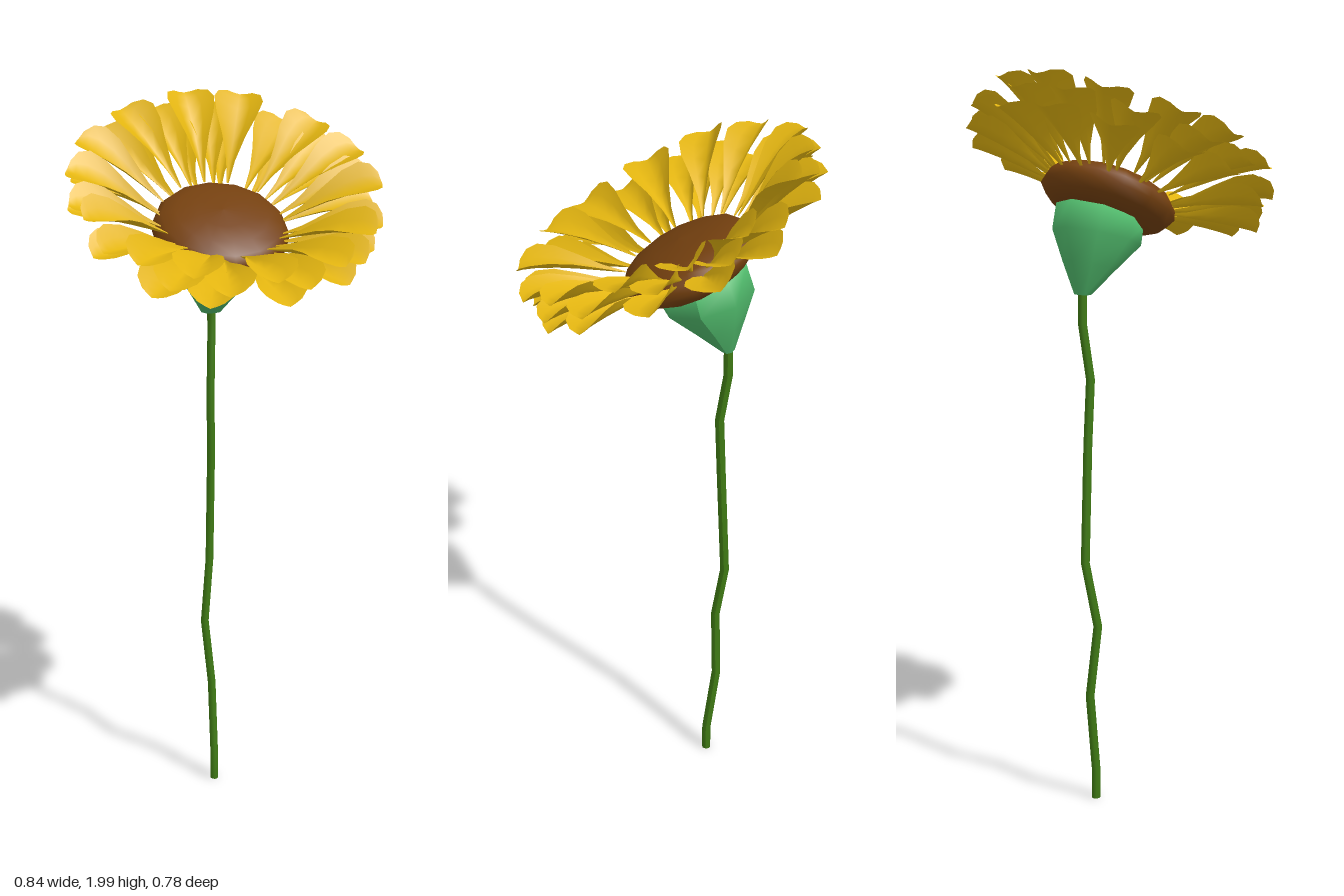
import * as THREE from 'three';

const paint = (color, side = THREE.FrontSide) => new THREE.MeshStandardMaterial({ color, side });

function part(name, geometry, material) {
  const mesh = new THREE.Mesh(geometry, material);
  mesh.name = name;
  return mesh;
}

// Grid of points (rows x columns) turned into a smooth surface
function surface(rows) {
  const cols = rows[0].length, index = [];
  for (let i = 0; i < rows.length - 1; i++) {
    for (let j = 0; j < cols - 1; j++) {
      const a = i * cols + j, b = a + cols;
      index.push(a, b, a + 1, b, b + 1, a + 1);
    }
  }
  const g = new THREE.BufferGeometry();
  g.setAttribute('position', new THREE.Float32BufferAttribute(rows.flat(2), 3));
  g.setIndex(index);
  g.computeVertexNormals();
  return g;
}

// Rings of [x, y, z, radius across, radius in depth, drop towards the front]
function loft(rings, sides) {
  return surface(rings.map(([x, y, z, rx, rz, drop = 0]) =>
    Array.from({ length: sides + 1 }, (_, j) => {
      const a = (j / sides) * Math.PI * 2;
      return [x + rx * Math.cos(a), y - drop * Math.sin(a), z + rz * Math.sin(a)];
    })));
}

// Petal running along +z: narrow stalk, broad blunt tip, edges folded up
function petalGeometry(length, rise) {
  // [fraction of length, half width, fraction of rise, fold height]
  const stations = [
    [0, 0.003, 0, 0.002], [0.2, 0.012, 0.24, 0.012], [0.42, 0.032, 0.5, 0.028],
    [0.62, 0.055, 0.72, 0.038], [0.8, 0.067, 0.88, 0.038], [0.92, 0.058, 0.97, 0.028],
    [1, 0.034, 1, 0.014],
  ];
  return surface(stations.map(([t, w, h, fold]) =>
    [-1, -0.5, 0, 0.5, 1].map((s) => [
      s * w, rise * h + fold * Math.abs(s) ** 1.3, length * (t - 0.03 * t * Math.abs(s)),
    ])));
}

export function createModel() {
  const flower = new THREE.Group();
  flower.name = 'flower';

  // Crooked stem
  const path = [
    [-0.005, 0, -0.131], [-0.005, 0.08, -0.131], [-0.006, 0.3, -0.157], [-0.028, 0.5, -0.149],
    [-0.007, 0.68, -0.176], [-0.005, 1.0, -0.162], [-0.008, 1.18, -0.154],
    [0, 1.33, -0.176], [0, 1.44, -0.175],
  ];
  const stemRings = path.map((p) => [...p, 0.0115, 0.0125]);
  stemRings.unshift([...path[0], 0, 0]);
  flower.add(part('stem', loft(stemRings, 8), paint(0x3f7a14)));

  // Green cup under the head, leaning forward as it opens
  flower.add(part('calyx', loft([
    [0, 1.405, -0.174, 0, 0],
    [0, 1.41, -0.174, 0.028, 0.018, 0],
    [0, 1.483, -0.15, 0.073, 0.066, 0.018],
    [0, 1.558, -0.118, 0.115, 0.122, 0.033],
    [0, 1.617, -0.105, 0.12, 0.112, 0.046],
    [0, 1.63, -0.1, 0, 0],
  ], 8), paint(0x4fb76a)));

  // Tilted head
  const head = new THREE.Group();
  head.name = 'head';
  head.position.set(0, 1.66, -0.07);
  head.rotation.x = THREE.MathUtils.degToRad(26);
  flower.add(head);

  // Seed disc
  const profile = [[0, -0.058], [0.13, -0.056], [0.165, -0.036], [0.186, -0.01],
    [0.18, 0.015], [0.162, 0.036], [0.125, 0.052], [0.07, 0.062], [0, 0.066]];
  head.add(part('seedDisc', new THREE.LatheGeometry(
    profile.map(([r, y]) => new THREE.Vector2(r, y)), 14), paint(0x74400f)));

  // Three staggered rings of petals
  const yellow = paint(0xe3b510, THREE.DoubleSide);
  const count = 14;
  const layers = [
    { name: 'upperPetal', length: 0.255, rise: 0.115, y: 0.035, turn: 0.2 },
    { name: 'middlePetal', length: 0.258, rise: 0.085, y: 0.025, turn: 0.7 },
    { name: 'lowerPetal', length: 0.25, rise: 0.05, y: 0.012, turn: 0.45 },
  ];
  for (const { name, length, rise, y, turn } of layers) {
    const geometry = petalGeometry(length, rise);
    for (let i = 0; i < count; i++) {
      const petal = part(name, geometry, yellow);
      const angle = ((i + turn + 0.1 * Math.sin(i * 2.3)) / count) * Math.PI * 2;
      petal.rotation.set(0.04 * Math.sin(i * 1.7), angle, 0.1 * Math.sin(i * 3.1), 'YXZ');
      petal.position.set(0.165 * Math.sin(angle), y, 0.165 * Math.cos(angle));
      head.add(petal);
    }
  }
  return flower;
}
